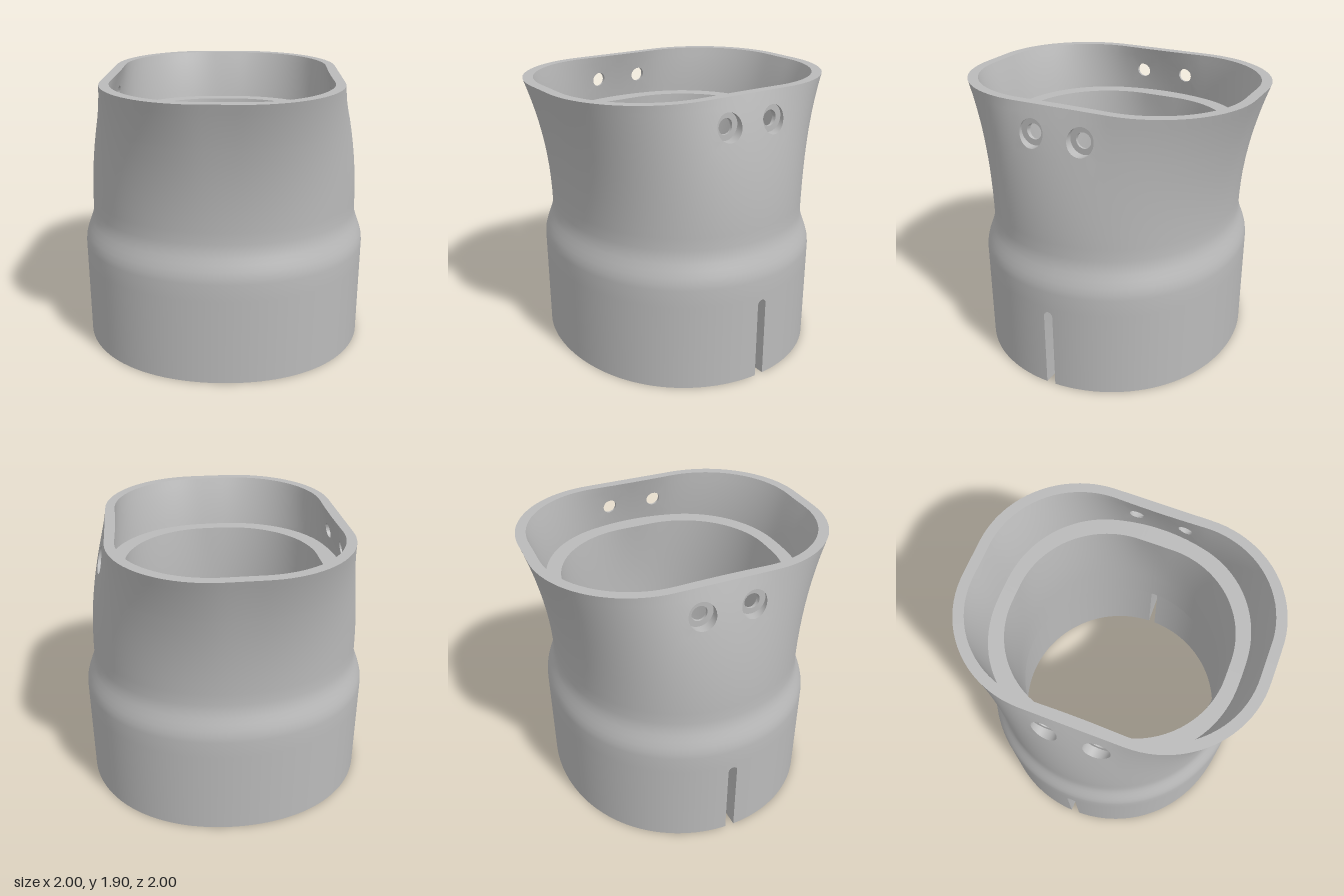
import * as THREE from 'three';
import { toCreasedNormals } from 'three/addons/utils/BufferGeometryUtils.js';

const NECK = 0.97, TOP = 1.9, LEDGE = 1.56, SHOULDER = 0.7;
const WALL = 0.07;                          // thickness of the upper wall
const SOCKET_R = 0.79, BORE_R = 0.727;      // round inner radii
const SLOT = 0.0315, SLOT_Y = 0.54;         // slot half angle, start of its arch
const WIN_A = 0.068, WIN_B = 0.34, WIN_Y0 = 1.6, WIN_Y1 = 1.84; // window around each screw hole
const WIN_N = 8;                            // divisions along a window side
const HOLE_U = 0.175, HOLE_Y = 1.72;

// Cross-sections are functions giving the radius at an angle from +z
const round = r => () => r;

function roundedRect(L, W, r) {
  return angle => {
    const s = Math.abs(Math.sin(angle)), c = Math.abs(Math.cos(angle));
    if (W * s <= (L - r) * c) return W / c;
    if (L * c <= (W - r) * s) return L / s;
    const b = (L - r) * s + (W - r) * c;
    return b + Math.sqrt(b * b - (L - r) ** 2 - (W - r) ** 2 + r * r);
  };
}

const baseOval = a => 0.9705 + 0.045 * Math.cos(2 * a) - 0.0055 * Math.cos(4 * a);
const topOutline = roundedRect(1.01, 0.8, 0.676);
const ledgeOpening = roundedRect(0.75, 0.69, 0.63);

// Outside of the sleeve at a height, moved inward by an offset
function outer(y, offset) {
  const pinch = 0.065 * THREE.MathUtils.smoothstep(y, 0.72, NECK);
  const t = Math.max(0, (y - NECK) / (TOP - NECK)) ** 2;
  return a => (baseOval(a) - pinch) * (1 - t) + topOutline(a) * t - offset;
}

// Bore between the neck and the ledge
function bore(y) {
  const t = ((y - NECK) / (LEDGE - NECK)) ** 2;
  return a => BORE_R * (1 - t) + ledgeOpening(a) * t;
}

function point(section, angle, y) {
  const R = section(angle);
  return new THREE.Vector3(R * Math.sin(angle), y, R * Math.cos(angle));
}

// Columns round the wall; the base rises over each slot
function makeColumns() {
  const cols = [];
  for (const turn of [0, Math.PI]) {
    const add = (a, base = 0) => cols.push({ angle: a + turn, local: a, base });
    const span = (a, b, n) => {
      for (let i = 0; i < n; i++) add(a + (b - a) * i / n);
    };
    add(-SLOT);
    for (let k = -4; k <= 4; k++) {
      const q = k * Math.PI / 8;
      add(SLOT * Math.sin(q), SLOT_Y + 0.032 * Math.cos(q));
    }
    add(SLOT);
    span(WIN_A, WIN_B, WIN_N);
    span(WIN_B, Math.PI - WIN_B, 48);
    span(Math.PI - WIN_B, Math.PI - WIN_A, WIN_N);
    add(Math.PI - WIN_A);
  }
  return cols;
}

// Closed wall profile: up the outside, over the rim, down the inside
function makeRows() {
  const rows = [];
  const add = (section, y) => rows.push({ section, y });
  const window = Array.from({ length: WIN_N + 1 },
    (_, i) => WIN_Y0 + (WIN_Y1 - WIN_Y0) * i / WIN_N);
  add(baseOval, null);
  for (const y of [0.6, 0.72, 0.76, 0.8, 0.84, 0.88, 0.92, NECK, 1.05, 1.15,
    1.25, 1.35, 1.44, 1.52, ...window, TOP]) add(outer(y, 0), y);
  for (const y of [TOP, ...window.reverse(), LEDGE]) add(outer(y, WALL), y);
  for (const y of [LEDGE, 1.5, 1.42, 1.33, 1.24, 1.15, 1.06, NECK]) add(bore(y), y);
  add(round(BORE_R), SHOULDER);
  add(round(SOCKET_R), SHOULDER);
  add(round(SOCKET_R), 0.6);
  add(round(SOCKET_R), null);
  add(baseOval, null);
  return rows;
}

function buildSleeve() {
  const pos = [];
  const tri = (a, b, c) => {
    const n = b.clone().sub(a).cross(c.clone().sub(a));
    if (n.lengthSq() > 1e-14) for (const p of [a, b, c]) pos.push(p.x, p.y, p.z);
  };
  const quad = (a, b, c, d) => { tri(a, b, c); tri(a, c, d); };

  // Lofted wall with slots, leaving out the hole windows
  const cols = makeColumns(), rows = makeRows();
  const vertex = (c, r) => point(r.section, c.angle, r.y === null ? c.base : r.y);
  cols.forEach((c, j) => {
    const d = cols[(j + 1) % cols.length];
    const mid = (c.local + d.local) / 2;
    const fold = Math.min(Math.abs(mid), Math.abs(Math.PI - mid));
    const inWindow = fold > WIN_A && fold < WIN_B;
    for (let i = 0; i < rows.length - 1; i++) {
      const r = rows[i], s = rows[i + 1];
      const y = (r.y + s.y) / 2;
      if (inWindow && y > WIN_Y0 && y < WIN_Y1) continue;
      quad(vertex(c, r), vertex(d, r), vertex(d, s), vertex(c, s));
    }
  });

  // Counterbored screw holes, two on each flat
  const N = 4 * WIN_N;
  const ring = fn => Array.from({ length: N }, (_, k) => {
    const q = 2 * Math.PI * k / N;
    return fn(Math.cos(q), Math.sin(q));
  });
  const edge = v => THREE.MathUtils.clamp(Math.asin(v) * 4 / Math.PI, -1, 1);
  for (const turn of [1, -1]) for (const side of [1, -1]) {
    const square = o => ring((x, y) => {
      const a = side * (WIN_A + WIN_B) / 2 + edge(x) * (WIN_B - WIN_A) / 2;
      const h = (WIN_Y0 + WIN_Y1) / 2 + edge(y) * (WIN_Y1 - WIN_Y0) / 2;
      return point(outer(h, o), a, h);
    });
    const circle = (r, o) => ring((x, y) => {
      const h = HOLE_Y + y * r, section = outer(h, o);
      return point(section, Math.atan((side * HOLE_U + x * r) / section(0)), h);
    });
    const seat = outer(HOLE_Y, 0.05)(0);
    const flat = r => ring((x, y) =>
      new THREE.Vector3(side * HOLE_U + x * r, HOLE_Y + y * r, seat));
    const rings = [square(0), circle(0.092, 0), flat(0.092), flat(0.052),
      circle(0.052, WALL), square(WALL)];
    for (const p of rings.flat()) { p.x *= turn; p.z *= turn; }
    for (let i = 0; i < rings.length - 1; i++) for (let k = 0; k < N; k++) {
      const n = (k + 1) % N;
      quad(rings[i][k], rings[i][n], rings[i + 1][n], rings[i + 1][k]);
    }
  }

  const geo = new THREE.BufferGeometry();
  geo.setAttribute('position', new THREE.Float32BufferAttribute(pos, 3));
  return toCreasedNormals(geo, 0.5);
}

export function createModel() {
  const grey = new THREE.MeshStandardMaterial({ color: 0xbababa });
  grey.name = 'plainGrey';
  const sleeve = new THREE.Mesh(buildSleeve(), grey);
  sleeve.name = 'adapterSleeve';
  sleeve.rotation.y = -Math.PI / 4;   // flats and slots face the diagonal
  const model = new THREE.Group();
  model.name = 'pipeAdapter';
  model.add(sleeve);
  return model;
}
